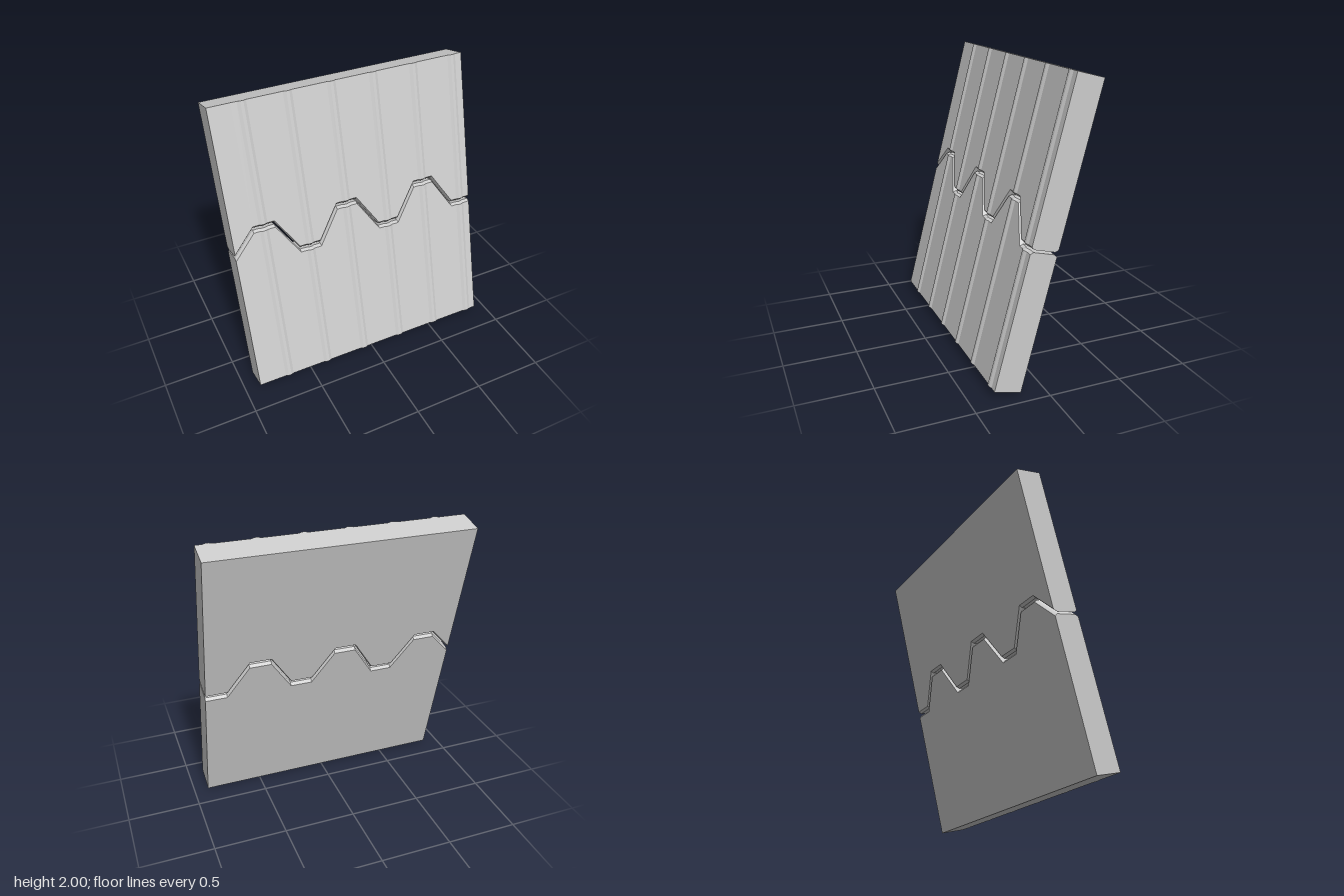
import * as THREE from 'three';

const HALF = 0.9, LENGTH = 2.0154, THICK = 0.186, RIB = 0.01;
const GAP = 0.008, CHAMFER = 0.015, DEPTH = 0.02;
const TILT = THREE.MathUtils.degToRad(14.5);
const HIGH = 1.166, LOW = 0.934;

// zigzag seam: [x, distance up the slab]
const seam = [[-HALF, 1.005]];
for (let i = 0; i < 3; i++) {
  const x = -0.75 + 0.6 * i;
  seam.push([x, HIGH], [x + 0.15, HIGH], [x + 0.3, LOW], [x + 0.45, LOW]);
}

// raised vertical ribs on the front: [x, depth of front surface]
const front = [[-HALF, THICK]];
for (let i = 0; i < 6; i++) {
  const x = -0.678 + 0.3 * i;
  front.push([x - 0.03, THICK], [x - 0.01, THICK + RIB], [x + 0.01, THICK + RIB], [x + 0.03, THICK]);
}
front.push([HALF, THICK]);

// piecewise linear lookup
function sample(points, x) {
  const i = points.findIndex((p) => p[0] >= x);
  if (i <= 0) return points[i < 0 ? points.length - 1 : 0][1];
  const [a, b] = [points[i - 1], points[i]];
  return THREE.MathUtils.lerp(a[1], b[1], (x - a[0]) / (b[0] - a[0]));
}

// cross-sections as [depth, height], going up the front and down the back
function lowerSection(x) {
  const s = sample(seam, x) - GAP, f = sample(front, x);
  return [[0, 0], [f, 0], [f, s - CHAMFER], [f - DEPTH, s], [DEPTH, s], [0, s - CHAMFER]];
}
function upperSection(x) {
  const s = sample(seam, x) + GAP, f = sample(front, x);
  return [[0, s + CHAMFER], [DEPTH, s], [f - DEPTH, s], [f, s + CHAMFER], [f, LENGTH], [0, LENGTH]];
}

// sweep a varying cross-section along x, with end caps
function panel(name, section) {
  const xs = [...new Set([...seam, ...front].map((p) => +p[0].toFixed(4)))].sort((a, b) => a - b);
  const rings = xs.map((x) => section(x).map(([z, y]) => [x, y, z]));
  const pos = [];
  const tri = (a, b, c) => pos.push(...a, ...b, ...c);
  for (let i = 0; i < rings.length - 1; i++) {
    const [r, s] = [rings[i], rings[i + 1]];
    for (let j = 0; j < r.length; j++) {
      const k = (j + 1) % r.length;
      tri(r[j], s[j], s[k]);
      tri(r[j], s[k], r[k]);
    }
  }
  const a = rings[0], b = rings[rings.length - 1];
  for (let j = 1; j < a.length - 1; j++) {
    tri(a[0], a[j], a[j + 1]);
    tri(b[0], b[j + 1], b[j]);
  }
  const geometry = new THREE.BufferGeometry();
  geometry.setAttribute('position', new THREE.Float32BufferAttribute(pos, 3));
  geometry.computeVertexNormals();
  const mesh = new THREE.Mesh(geometry, new THREE.MeshStandardMaterial({ color: 0xcccccc, flatShading: true }));
  mesh.name = name;
  return mesh;
}

export function createModel() {
  const slab = new THREE.Group();
  slab.name = 'leaningSlab';
  slab.add(panel('lowerPanel', lowerSection), panel('upperPanel', upperSection));
  slab.rotation.x = -TILT;
  slab.position.z = 0.158;
  const model = new THREE.Group();
  model.name = 'splitRibbedPanel';
  model.add(slab);
  return model;
}
